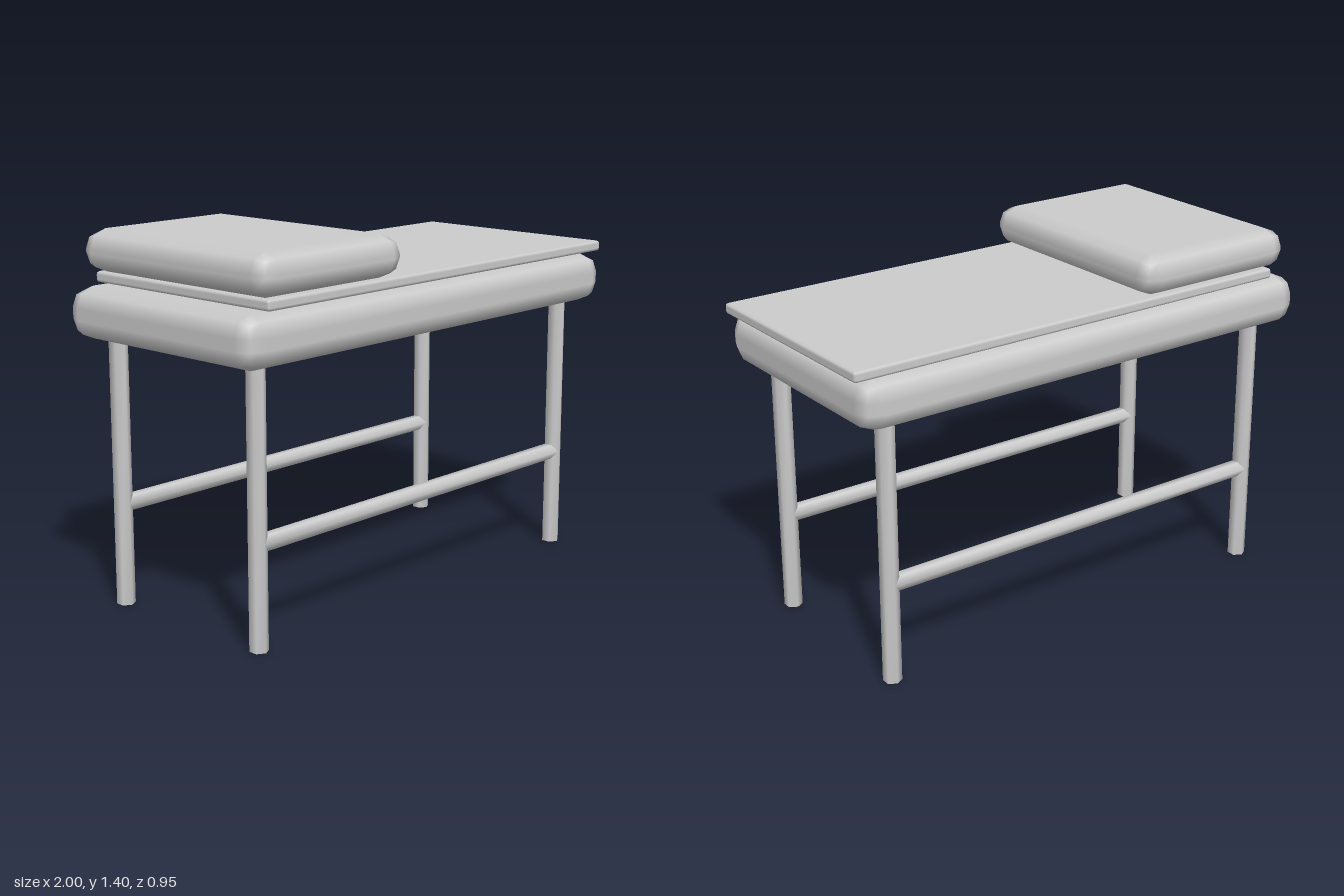
import * as THREE from 'three';
import { mergeVertices } from 'three/addons/utils/BufferGeometryUtils.js';

const grey = new THREE.MeshStandardMaterial({ color: 0xcccccc });
grey.name = 'plainGrey';

// Box with rounded edges (two facets per quarter turn) and exactly flat faces
function softBox(name, x0, x1, y0, y1, depth, r) {
  const geo = new THREE.BoxGeometry(1, 1, 1, 3, 3, 3);
  const pos = geo.attributes.position, nor = geo.attributes.normal;
  const core = new THREE.Vector3(x1 - x0, y1 - y0, depth).multiplyScalar(0.5).subScalar(r);
  const p = new THREE.Vector3(), d = new THREE.Vector3();
  const dir = (t) => (Math.abs(t) > 0.4 ? Math.sign(t) : 0);
  for (let i = 0; i < pos.count; i++) {
    p.fromBufferAttribute(pos, i);
    d.set(dir(p.x), dir(p.y), dir(p.z)).normalize();
    p.set(Math.sign(p.x), Math.sign(p.y), Math.sign(p.z)).multiply(core).addScaledVector(d, r);
    pos.setXYZ(i, p.x, p.y, p.z);
    nor.setXYZ(i, d.x, d.y, d.z);
  }
  const mesh = new THREE.Mesh(geo, grey);
  mesh.name = name;
  mesh.position.set((x0 + x1) / 2, (y0 + y1) / 2, 0);
  return mesh;
}

// Six-sided bar, shaded smoothly over its ends
function bar(name, radius, length) {
  let geo = new THREE.CylinderGeometry(radius, radius, length, 6);
  geo.deleteAttribute('normal');
  geo.deleteAttribute('uv');
  geo = mergeVertices(geo);
  geo.computeVertexNormals();
  const mesh = new THREE.Mesh(geo, grey);
  mesh.name = name;
  return mesh;
}

export function createModel() {
  const model = new THREE.Group();
  model.name = 'examinationTable';

  // Padding: mattress, thin sheet and head cushion
  model.add(
    softBox('mattress', -1, 0.98, 1.01, 1.203, 0.955, 0.075),
    softBox('sheet', -0.88, 0.998, 1.205, 1.246, 0.89, 0.012),
    softBox('headCushion', -0.93, -0.225, 1.246, 1.402, 0.955, 0.072)
  );

  // Legs and the long rail on each side
  for (const z of [-0.355, 0.355]) {
    for (const x of [-0.858, 0.834]) {
      const leg = bar('leg', 0.035, 1.02);
      leg.position.set(x, 0.51, z);
      model.add(leg);
    }
    const rail = bar('sideRail', 0.033, 1.673);
    rail.rotation.z = Math.PI / 2;
    rail.position.set(-0.013, 0.387, z);
    model.add(rail);
  }
  return model;
}
